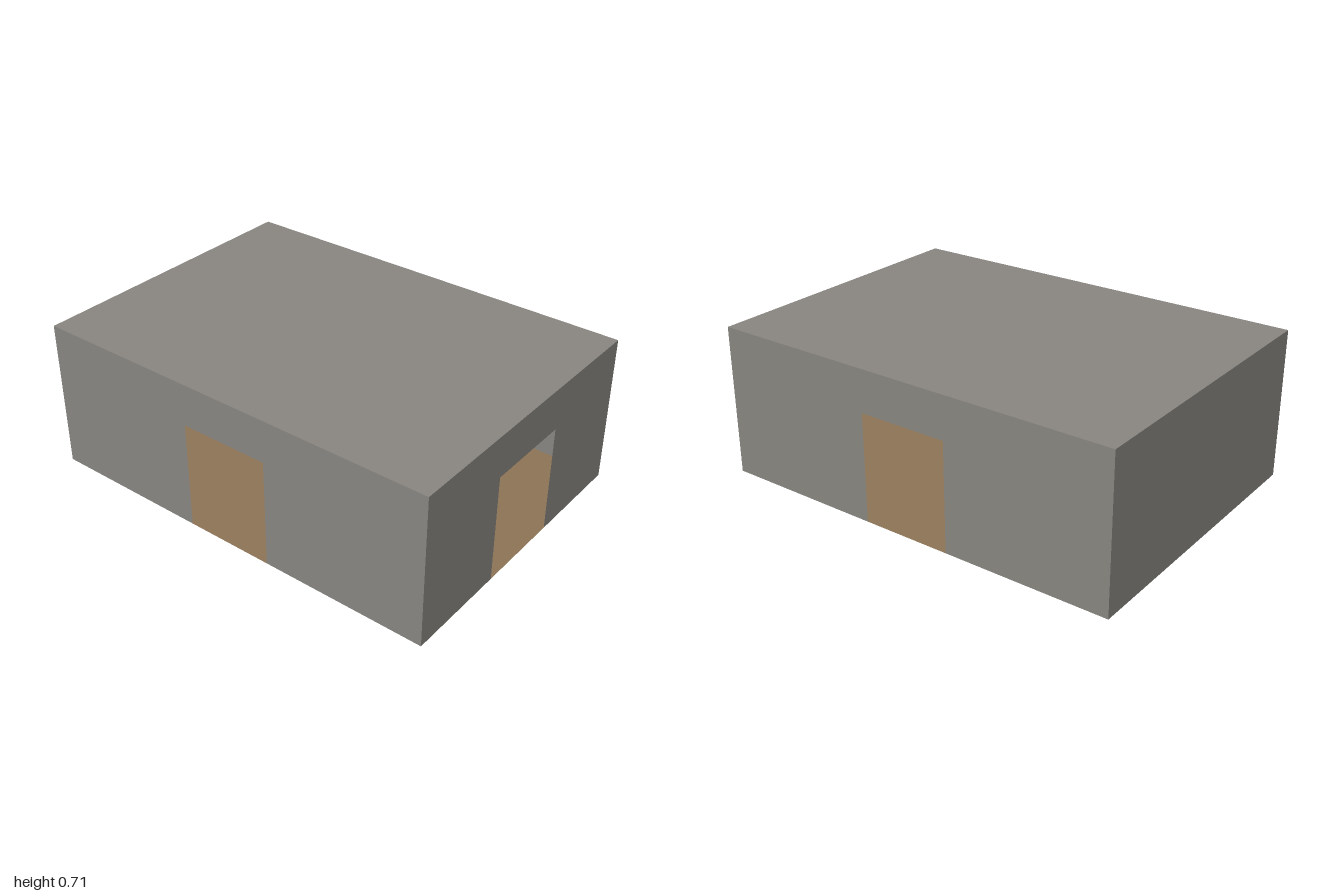
import * as THREE from 'three';

const W = 2, D = 1.43, H = 0.715;       // overall size
const DOOR_W = 0.43, DOOR_H = 0.515;    // doorway size

export function createModel() {
  const group = new THREE.Group();
  const grey = new THREE.MeshStandardMaterial({ color: 0x888580, side: THREE.DoubleSide });
  const brown = new THREE.MeshStandardMaterial({ color: 0x8b7355, side: THREE.DoubleSide });

  // Thin wall sheet standing on the ground, with an optional central doorway
  function addWall(name, width, distance, angle, hasDoor) {
    const w = width / 2, d = DOOR_W / 2;
    const points = [[-w, 0]];
    if (hasDoor) points.push([-d, 0], [-d, DOOR_H], [d, DOOR_H], [d, 0]);
    points.push([w, 0], [w, H], [-w, H]);
    const shape = new THREE.Shape(points.map(([x, y]) => new THREE.Vector2(x, y)));
    const geometry = new THREE.ShapeGeometry(shape).translate(0, 0, distance).rotateY(angle);
    const wall = new THREE.Mesh(geometry, grey);
    wall.name = name;
    group.add(wall);
  }

  addWall('frontWall', W, D / 2, 0, true);
  addWall('leftWall', D, W / 2, Math.PI / 2, true);
  addWall('backWall', W, D / 2, Math.PI, true);
  addWall('rightWall', D, W / 2, -Math.PI / 2, false);

  // Horizontal sheets closing the room
  function addSlab(name, y, material) {
    const slab = new THREE.Mesh(new THREE.PlaneGeometry(W, D).rotateX(-Math.PI / 2), material);
    slab.position.y = y;
    slab.name = name;
    group.add(slab);
  }

  addSlab('floor', 0, brown);
  addSlab('flatRoof', H, grey);

  return group;
}
